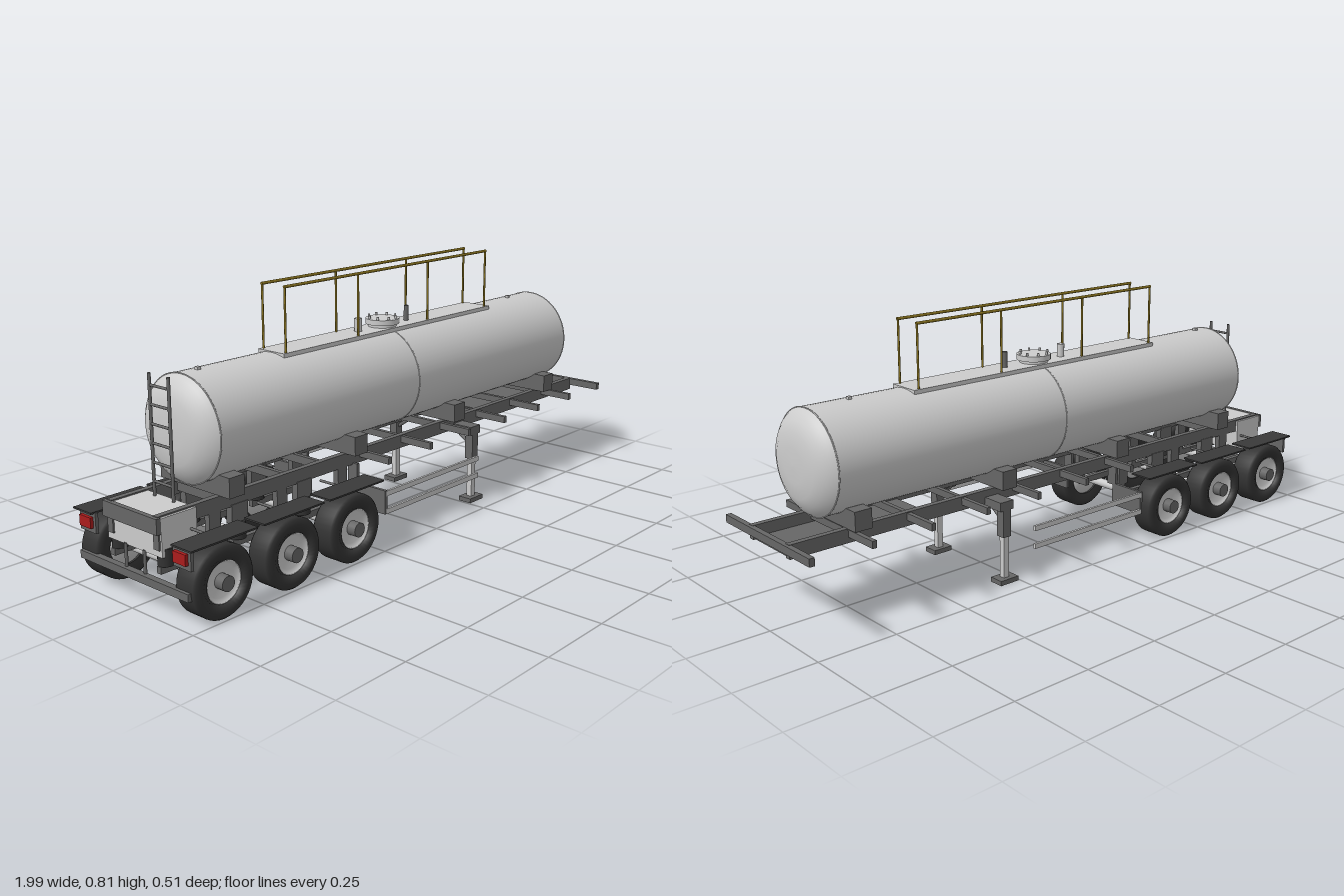
import * as THREE from 'three';

const mat = (color) => new THREE.MeshStandardMaterial({ color });
const GREY = mat(0xcccccc), FRAME = mat(0x666666), DARK = mat(0x3a3a3a),
  RUBBER = mat(0x333333), YELLOW = mat(0x8a7420), RED = mat(0xaa1c1c);
const V = (x, y, z) => new THREE.Vector3(x, y, z);

export function createModel() {
  const root = new THREE.Group();
  root.name = 'tankTrailer';

  const add = (name, geo, m, x = 0, y = 0, z = 0) => {
    const mesh = new THREE.Mesh(geo, m);
    mesh.name = name;
    mesh.position.set(x, y, z);
    root.add(mesh);
    return mesh;
  };
  // box given by its limits on each axis
  const box = (name, m, [x0, x1], [y0, y1], [z0, z1]) =>
    add(name, new THREE.BoxGeometry(x1 - x0, y1 - y0, z1 - z0), m,
      (x0 + x1) / 2, (y0 + y1) / 2, (z0 + z1) / 2);
  // the same box on both sides
  const pair = (name, m, xs, ys, [z0, z1]) => {
    box(name + 'Left'.replace('Left', 'Near'), m, xs, ys, [z0, z1]);
    box(name + 'Far', m, xs, ys, [-z1, -z0]);
  };
  // round bar between two points
  const bar = (name, m, a, b, r, sides = 10) => {
    const mesh = add(name, new THREE.CylinderGeometry(r, r, a.distanceTo(b), sides), m);
    mesh.position.copy(a).lerp(b, 0.5);
    mesh.quaternion.setFromUnitVectors(V(0, 1, 0), b.clone().sub(a).normalize());
    return mesh;
  };

  // Tank: barrel with dished ends
  const R = 0.156, CY = 0.458;
  const barrel = new THREE.CylinderGeometry(R, R, 1.65, 64, 1, true);
  add('tankBarrel', barrel, GREY, 0.025, CY).rotation.z = Math.PI / 2;
  for (const s of [-1, 1]) {
    const dish = [[0.0001, 0.05], [0.05, 0.049], [0.095, 0.044], [0.125, 0.03], [0.145, 0.014], [R, 0]]
      .map(([r, h]) => new THREE.Vector2(r, h)).reverse();
    const end = add('tankEnd', new THREE.LatheGeometry(dish, 64), GREY, 0.025 + s * 0.825, CY);
    end.rotation.z = -s * Math.PI / 2;
  }
  for (const x of [-0.8, 0.025, 0.85]) {
    const seam = add('tankSeam', new THREE.TorusGeometry(R, 0.002, 6, 64), GREY, x, CY);
    seam.rotation.y = Math.PI / 2;
  }
  for (const x of [-0.74, 0.71])
    box('liftingLug', GREY, [x - 0.006, x + 0.006], [0.605, 0.622], [-0.006, 0.006]);

  // Saddles under the tank, cut to its curve
  for (const x of [-0.74, -0.237, 0.248, 0.773]) {
    const s = new THREE.Shape();
    const edge = 0.1025, a = Math.atan2(0.34 - CY, edge);
    s.moveTo(-0.145, 0.281);
    s.lineTo(0.145, 0.281);
    s.lineTo(0.145, 0.34);
    s.lineTo(edge, 0.34);
    s.absarc(0, CY, R - 0.001, a, -Math.PI - a, true);
    s.lineTo(-0.145, 0.34);
    const g = new THREE.ExtrudeGeometry(s, { depth: 0.056, bevelEnabled: false, curveSegments: 16 });
    add('tankSaddle', g, FRAME, x - 0.028).rotation.y = Math.PI / 2;
  }

  // Walkway with railings
  box('walkway', GREY, [-0.465, 0.525], [0.604, 0.617], [-0.053, 0.053]);
  for (const z of [-0.046, 0.046]) {
    const posts = [-0.45, -0.14, 0.195, 0.505];
    for (const x of posts) bar('railPost', YELLOW, V(x, 0.615, z), V(x, 0.808, z), 0.0035);
    bar('handRail', YELLOW, V(-0.453, 0.808, z), V(0.508, 0.808, z), 0.0045);
  }

  // Manhole with bolts, and vents
  bar('manholeNeck', GREY, V(0.025, 0.61, 0), V(0.025, 0.628, 0), 0.045, 32);
  bar('manholeLid', GREY, V(0.025, 0.626, 0), V(0.025, 0.643, 0), 0.054, 32);
  for (let i = 0; i < 8; i++) {
    const a = (i + 0.5) * Math.PI / 4, x = 0.025 + 0.045 * Math.cos(a), z = 0.045 * Math.sin(a);
    bar('manholeBolt', GREY, V(x, 0.64, z), V(x, 0.652, z), 0.004, 6);
  }
  bar('ventPipe', GREY, V(-0.09, 0.61, 0), V(-0.09, 0.658, 0), 0.012, 20);
  bar('ventValve', FRAME, V(0.143, 0.61, 0), V(0.143, 0.666, 0), 0.008, 16);

  // Chassis rails, cross members and coupling plate
  pair('chassisRail', FRAME, [-0.985, 0.985], [0.24, 0.282], [0.088, 0.107]);
  for (let i = 0; i < 6; i++) {
    const x = -0.197 + i * 0.198;
    box('crossMember', FRAME, [x - 0.007, x + 0.007], [0.257, 0.279], [-0.225, 0.225]);
  }
  box('frontBeam', FRAME, [0.978, 0.995], [0.257, 0.281], [-0.224, 0.224]);
  for (const x of [-0.75, -0.5, -0.35])
    box('rearCrossMember', FRAME, [x - 0.007, x + 0.007], [0.25, 0.275], [-0.09, 0.09]);
  box('couplingPlate', FRAME, [0.5, 0.978], [0.24, 0.248], [-0.1, 0.1]);
  bar('kingpin', FRAME, V(0.735, 0.218, 0), V(0.735, 0.242, 0), 0.007, 16);

  // Rear cabinet, bumper and lights
  box('rearCabinet', GREY, [-0.98, -0.86], [0.168, 0.278], [-0.115, 0.115]);
  box('rearBeam', FRAME, [-0.995, -0.98], [0.235, 0.28], [-0.115, 0.115]);
  box('rearBumper', FRAME, [-0.995, -0.975], [0.082, 0.105], [-0.23, 0.23]);
  for (const s of [-1, 1]) {
    bar('bumperStrut', FRAME, V(-0.98, 0.1, s * 0.04), V(-0.98, 0.172, s * 0.04), 0.005);
    const z = s * 0.2;
    box('lightBracket', FRAME, [-0.985, -0.975], [0.165, 0.225], [z - 0.035, z + 0.035]);
    box('tailLight', RED, [-0.995, -0.985], [0.18, 0.212], [z - 0.025, z + 0.025]);
  }

  // Ladder behind the tank
  for (const z of [-0.04, 0.04])
    bar('ladderSide', FRAME, V(-0.875, 0.27, z), V(-0.875, 0.623, z), 0.005);
  for (let i = 0; i < 6; i++)
    bar('ladderRung', FRAME, V(-0.875, 0.32 + i * 0.054, -0.04), V(-0.875, 0.32 + i * 0.054, 0.04), 0.004);

  // Wheels: tyre profile turned about the axle, dished rim, hub
  const lathe = (pts) => new THREE.LatheGeometry(pts.map(([r, h]) => new THREE.Vector2(r, h)), 40);
  const tyre = lathe([[0.061, -0.037], [0.085, -0.041], [0.099, -0.039], [0.105, -0.032],
    [0.105, 0.032], [0.099, 0.039], [0.085, 0.041], [0.061, 0.037], [0.061, -0.037]]);
  const rim = lathe([[0.0001, -0.03], [0.062, -0.03], [0.062, 0.034], [0.057, 0.034], [0.048, 0.022], [0.0001, 0.022]]);
  for (const x of [-0.88, -0.625, -0.37]) {
    bar('axle', GREY, V(x, 0.105, -0.18), V(x, 0.105, 0.18), 0.014, 16);
    for (const s of [-1, 1]) {
      const wheel = new THREE.Group();
      wheel.name = 'wheel';
      const hub = new THREE.CylinderGeometry(0.022, 0.022, 0.05, 20).translate(0, 0.028, 0);
      for (const [n, g, m] of [['tyre', tyre, RUBBER], ['rim', rim, GREY], ['hub', hub, FRAME]]) {
        const part = new THREE.Mesh(g, m);
        part.name = n;
        wheel.add(part);
      }
      wheel.position.set(x, 0.105, s * 0.204);
      wheel.rotation.x = s * Math.PI / 2;
      root.add(wheel);
      // air spring behind the axle
      bar('airSpring', RUBBER, V(x - 0.075, 0.14, s * 0.098), V(x - 0.075, 0.19, s * 0.098), 0.023, 20);
      bar('fenderStay', FRAME, V(x, 0.222, s * 0.1), V(x, 0.222, s * 0.24), 0.004);
    }
    // Suspension and flat fender
    pair('springHanger', FRAME, [x + 0.07, x + 0.11], [0.168, 0.245], [0.088, 0.107]);
    pair('springSeat', FRAME, [x - 0.105, x - 0.045], [0.188, 0.245], [0.086, 0.109]);
    pair('trailingArm', FRAME, [x - 0.1, x + 0.1], [0.12, 0.14], [0.09, 0.106]);
    pair('armEnd', FRAME, [x + 0.08, x + 0.1], [0.12, 0.17], [0.09, 0.106]);
    pair('fender', DARK, [x - 0.116, x + 0.116], [0.223, 0.228], [0.17, 0.25]);
  }

  // Side guards on their end panels
  for (const y of [0.11, 0.167])
    pair('sideGuardRail', GREY, [-0.23, 0.23], [y, y + 0.016], [0.231, 0.239]);
  pair('sideGuardPanel', FRAME, [-0.235, -0.225], [0.11, 0.185], [0.11, 0.238]);
  pair('sideGuardHanger', FRAME, [-0.235, -0.225], [0.18, 0.245], [0.088, 0.125]);

  // Landing legs with braces
  pair('legHousing', FRAME, [0.275, 0.305], [0.147, 0.235], [0.15, 0.18]);
  pair('legTube', GREY, [0.28, 0.3], [0.012, 0.15], [0.156, 0.175]);
  pair('legFoot', FRAME, [0.256, 0.324], [0, 0.015], [0.142, 0.19]);
  pair('legBracket', FRAME, [0.265, 0.315], [0.232, 0.26], [0.1, 0.18]);
  for (const s of [-1, 1])
    bar('legBrace', FRAME, V(0.29, 0.197, s * 0.155), V(0.29, 0.238, s * 0.095), 0.006);

  return root;
}
